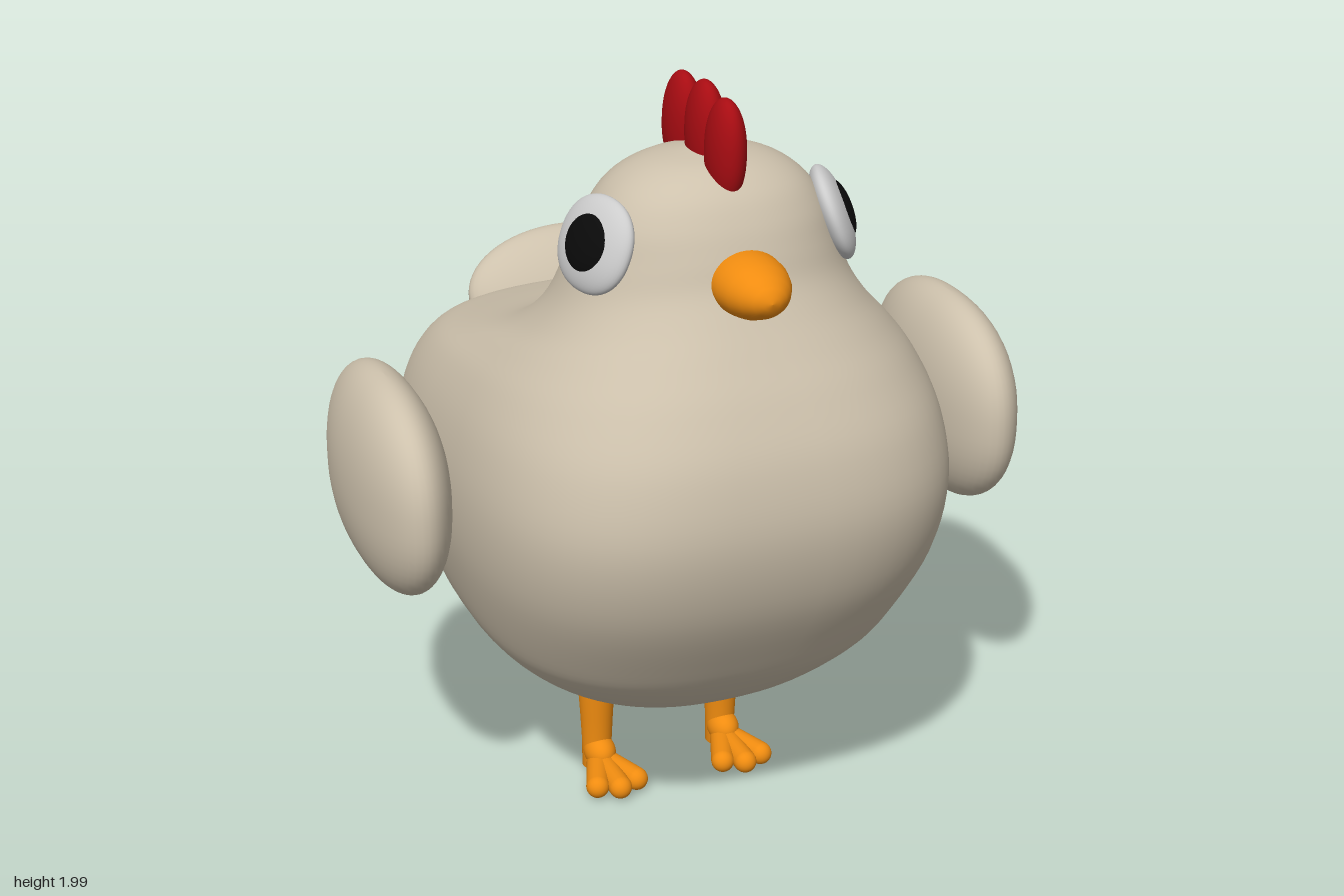
import * as THREE from 'three';

const mat = (color) => new THREE.MeshStandardMaterial({ color });
const feather = mat(0xcdc1ac), orange = mat(0xf08c10), red = mat(0xa80c12);
const white = mat(0xcccccc), black = mat(0x0a0a0a);

function add(parent, name, geometry, material, x = 0, y = 0, z = 0) {
  const mesh = new THREE.Mesh(geometry, material);
  mesh.name = name;
  mesh.position.set(x, y, z);
  parent.add(mesh);
  return mesh;
}

// Ellipsoid whose y/z outline is squared off slightly when n > 2
function blob(rx, ry, rz, n = 2) {
  const g = new THREE.SphereGeometry(1, 48, 32);
  const p = g.attributes.position;
  for (let i = 0; i < p.count; i++) {
    const y = p.getY(i), z = p.getZ(i), r = Math.hypot(y, z);
    const k = r < 1e-6 ? 1 : r / (Math.abs(y) ** n + Math.abs(z) ** n) ** (1 / n) * r ** 0;
    p.setXYZ(i, p.getX(i) * rx, y * k * ry, z * k * rz);
  }
  g.computeVertexNormals();
  // keep normals continuous over the sphere seam
  const nor = g.attributes.normal, row = 49;
  for (let j = 0; j <= 32; j++) {
    const a = j * row, b = a + 48;
    const v = new THREE.Vector3().fromBufferAttribute(nor, a)
      .add(new THREE.Vector3().fromBufferAttribute(nor, b)).normalize();
    nor.setXYZ(a, v.x, v.y, v.z);
    nor.setXYZ(b, v.x, v.y, v.z);
  }
  return g;
}

// Body rings, bottom to top: front z, front y, back z, back y, half width, squareness
const rings = [
  [0.02, 0.305, -0.02, 0.305, 0.02, 2.2],
  [0.2, 0.315, -0.18, 0.313, 0.19, 2.2],
  [0.35, 0.345, -0.31, 0.345, 0.31, 2.3],
  [0.46, 0.4, -0.44, 0.4, 0.415, 2.4],
  [0.57, 0.5, -0.57, 0.5, 0.515, 2.6],
  [0.645, 0.6, -0.65, 0.6, 0.57, 2.7],
  [0.76, 0.8, -0.725, 0.8, 0.62, 2.9],
  [0.81, 1.0, -0.735, 0.95, 0.63, 3.0],
  [0.79, 1.18, -0.7, 1.07, 0.605, 2.9],
  [0.73, 1.32, -0.62, 1.165, 0.555, 2.7],
  [0.67, 1.42, -0.47, 1.215, 0.495, 2.5],
  [0.62, 1.5, -0.26, 1.27, 0.43, 2.3],
  [0.58, 1.57, -0.11, 1.37, 0.375, 2.2],
  [0.555, 1.64, -0.03, 1.5, 0.335, 2.2],
  [0.525, 1.71, 0.03, 1.64, 0.3, 2.2],
  [0.48, 1.775, 0.085, 1.75, 0.24, 2.2],
  [0.41, 1.82, 0.16, 1.81, 0.15, 2.1],
  [0.3, 1.838, 0.27, 1.838, 0.02, 2],
];

// Loft through the rings, which tilt to follow the saddle of the back
function bodyGeometry() {
  const curve = (f) => new THREE.CatmullRomCurve3(rings.map(f), false, 'catmullrom', 0.5);
  const front = curve((r) => new THREE.Vector3(r[4], r[1], r[0]));
  const back = curve((r) => new THREE.Vector3(r[5], r[3], r[2]));
  const rows = 85, cols = 72, pos = [], idx = [];
  const sp = (v, n) => Math.sign(v) * Math.abs(v) ** (2 / n);
  for (let i = 0; i <= rows; i++) {
    const f = front.getPoint(i / rows), b = back.getPoint(i / rows);
    for (let j = 0; j < cols; j++) {
      const a = (j / cols) * Math.PI * 2;
      const t = (1 + sp(Math.cos(a), b.x)) / 2;
      pos.push(f.x * sp(Math.sin(a), b.x), b.y + (f.y - b.y) * t, b.z + (f.z - b.z) * t);
      if (i === rows) continue;
      const p = i * cols + j, q = i * cols + (j + 1) % cols;
      idx.push(p, q, q + cols, p, q + cols, p + cols);
    }
  }
  // end caps
  const top = rows * cols;
  for (let j = 1; j < cols - 1; j++) {
    idx.push(0, j + 1, j, top, top + j, top + j + 1);
  }
  const g = new THREE.BufferGeometry();
  g.setAttribute('position', new THREE.Float32BufferAttribute(pos, 3));
  g.setIndex(idx);
  g.computeVertexNormals();
  return g;
}

const lathe = (pts, seg = 32) =>
  new THREE.LatheGeometry(pts.map(([x, y]) => new THREE.Vector2(x, y)), seg);

function makeLeg(x) {
  const leg = new THREE.Group();
  leg.name = 'leg';
  leg.position.set(x, 0.006, 0.03);
  add(leg, 'shin', lathe([[0, 0], [0.032, 0], [0.04, 0.008], [0.04, 0.08], [0.044, 0.16],
    [0.054, 0.32], [0.056, 0.4], [0, 0.4]]), orange);
  add(leg, 'ankle', blob(0.042, 0.045, 0.055), orange, 0, 0.058, 0.022);
  // three splayed toes
  for (const s of [-1, 0, 1]) {
    const from = new THREE.Vector3(0, 0.033, 0.01);
    const to = new THREE.Vector3(s * 0.055, 0.033, s ? 0.155 : 0.18);
    const dir = to.clone().sub(from);
    const toe = add(leg, 'toe', new THREE.CapsuleGeometry(0.031, dir.length(), 8, 20), orange);
    toe.position.copy(from).add(to).multiplyScalar(0.5);
    toe.quaternion.setFromUnitVectors(new THREE.Vector3(0, 1, 0), dir.normalize());
  }
  return leg;
}

export function createModel() {
  const model = new THREE.Group();
  model.name = 'chicken';

  add(model, 'body', bodyGeometry(), feather);

  const tail = add(model, 'tail', blob(0.295, 0.175, 0.085), feather, 0, 1.115, -0.692);
  tail.rotation.x = -0.54;

  for (const s of [-1, 1]) {
    add(model, 'wing', blob(0.125, 0.275, 0.345, 2.3), feather, s * 0.768, 1.01, 0.105);

    // eye discs face outward, up and forward
    const normal = new THREE.Vector3(s, 0.4, 0.34).normalize();
    const eye = new THREE.Group();
    eye.name = 'eye';
    eye.position.set(s * 0.308, 1.65, 0.363);
    eye.quaternion.setFromUnitVectors(new THREE.Vector3(s, 0, 0), normal);
    add(eye, 'eyeWhite', blob(0.042, 0.119, 0.124, 2.2), white);
    add(eye, 'pupil', blob(0.026, 0.074, 0.075), black, s * 0.025);
    model.add(eye);
  }

  // comb lobes
  for (const [z, y, tilt] of [[0.418, 1.862, 0.04], [0.293, 1.87, 0], [0.146, 1.852, 0.08]]) {
    add(model, 'combLobe', blob(0.046, 0.13, 0.073, 2.2), red, 0, y, z).rotation.x = tilt;
  }

  // beak: blunt cone turned to point forward
  const beak = add(model, 'beak', lathe([[0, -0.1], [0.9, -0.07], [1, -0.02], [0.98, 0.03],
    [0.87, 0.07], [0.68, 0.105], [0.45, 0.13], [0.22, 0.143], [0, 0.147]], 40), orange, 0, 1.58, 0.563);
  beak.rotation.x = Math.PI / 2;
  beak.scale.set(0.095, 1, 0.077);

  for (const x of [-0.197, 0.163]) model.add(makeLeg(x));

  return model;
}
